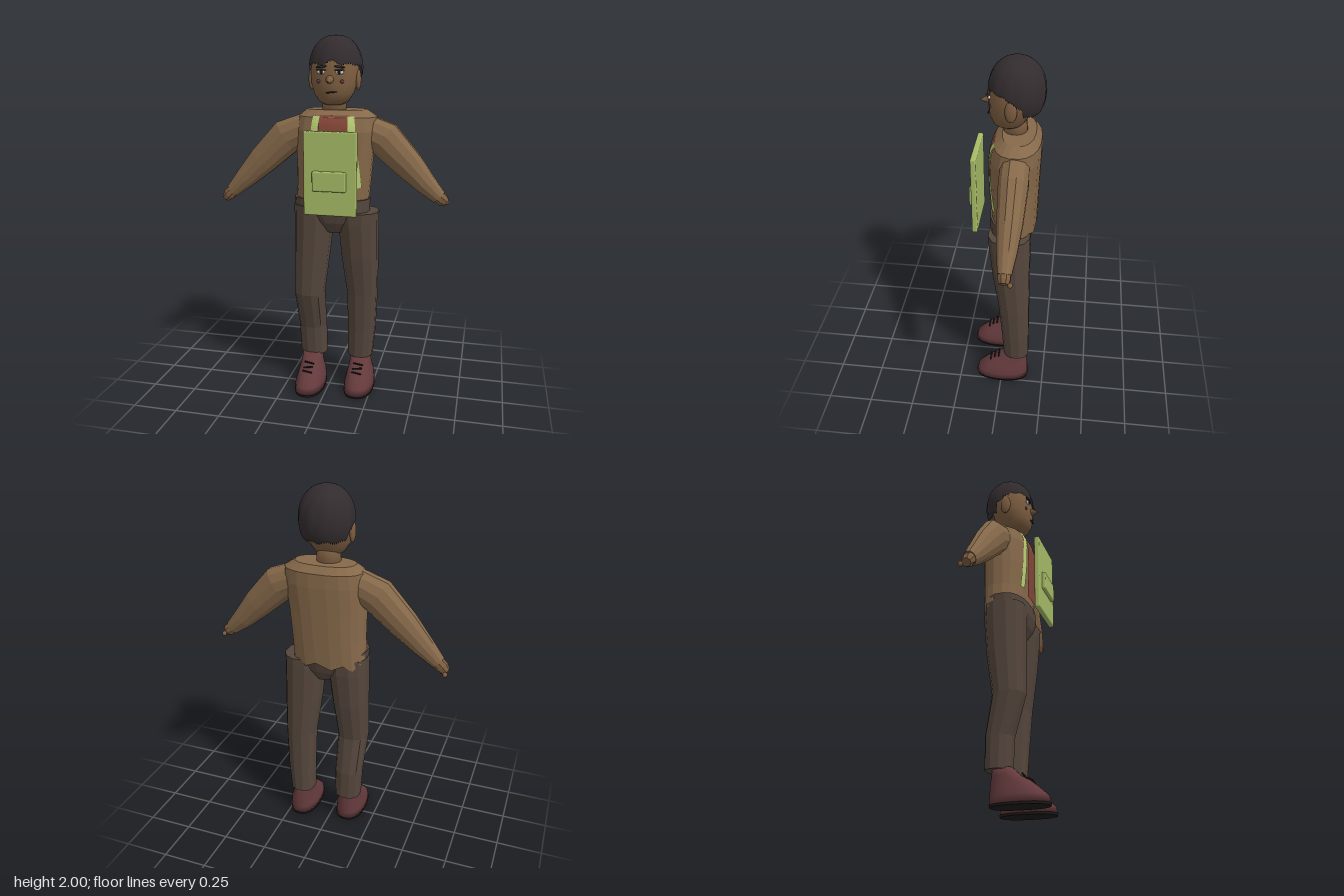
import * as THREE from 'three';
import { RoundedBoxGeometry } from 'three/addons/geometries/RoundedBoxGeometry.js';

const paint = (name, color, side = THREE.FrontSide) => {
  const m = new THREE.MeshStandardMaterial({ color, side });
  m.name = name;
  return m;
};

// Closed body through rings [x, y, z, half width, half depth]; tilt sets rings square to the path
function loft(rings, { n = 14, p = 2, tilt = false, flat = true, edit = null } = {}) {
  const pos = [], idx = [];
  const pow = (t) => Math.sign(t) * Math.abs(t) ** (2 / p);
  const centres = rings.map((r) => new THREE.Vector3(r[0], r[1], r[2]));
  const u = new THREE.Vector3(0, 0, 1);
  rings.forEach((r, i) => {
    const d = new THREE.Vector3(0, 1, 0);
    if (tilt) d.subVectors(centres[Math.min(i + 1, rings.length - 1)], centres[Math.max(i - 1, 0)]).setZ(0).normalize();
    const v = d.clone().cross(u);
    for (let j = 0; j < n; j++) {
      const a = ((j + 0.5) / n) * Math.PI * 2;
      const q = centres[i].clone().addScaledVector(u, r[4] * pow(Math.cos(a))).addScaledVector(v, r[3] * pow(Math.sin(a)));
      if (edit) edit(q, i, j);
      pos.push(q.x, q.y, q.z);
    }
  });
  for (let i = 0; i < rings.length - 1; i++) for (let j = 0; j < n; j++) {
    const k = (j + 1) % n, a = i * n + j, b = i * n + k;
    idx.push(a, b, b + n, a, b + n, a + n);
  }
  // end caps
  const last = rings.length - 1, c0 = pos.length / 3;
  pos.push(...centres[0].toArray(), ...centres[last].toArray());
  for (let j = 0; j < n; j++) {
    const k = (j + 1) % n;
    idx.push(c0, k, j, c0 + 1, last * n + j, last * n + k);
  }
  let g = new THREE.BufferGeometry();
  g.setAttribute('position', new THREE.Float32BufferAttribute(pos, 3));
  g.setIndex(idx);
  if (flat) g = g.toNonIndexed();
  g.computeVertexNormals();
  return g;
}

const TORSO = [
  [0.005, 1.07, -0.055, 0.205, 0.12], [0.015, 1.2, -0.055, 0.205, 0.125], [0.02, 1.35, -0.055, 0.212, 0.13],
  [0.03, 1.5, -0.06, 0.222, 0.132], [0.033, 1.575, -0.068, 0.215, 0.122], [0.025, 1.612, -0.075, 0.165, 0.085],
];

// Depth of the chest surface at a point
function chestZ(x, y) {
  let i = 0;
  while (i < TORSO.length - 2 && y > TORSO[i + 1][1]) i++;
  const a = TORSO[i], b = TORSO[i + 1], t = (y - a[1]) / (b[1] - a[1]);
  const [cx, , cz, rx, rz] = a.map((v, k) => v + (b[k] - v) * t);
  return cz + rz * Math.max(0, 1 - Math.abs((x - cx) / rx) ** 2.4) ** (1 / 2.4) + 0.006;
}

// Cloth strip lying on the chest; slant moves its lower end sideways
function chestStrip(x0, x1, y0, y1, slant = 0) {
  const g = new THREE.PlaneGeometry(1, 1, 6, 12), a = g.attributes.position;
  for (let i = 0; i < a.count; i++) {
    const s = a.getX(i) + 0.5, t = a.getY(i) + 0.5;
    const x = x0 + (x1 - x0) * s + slant * (1 - t), y = y0 + (y1 - y0) * t;
    a.setXYZ(i, x, y, chestZ(x, y));
  }
  g.computeVertexNormals();
  return g;
}

// Cap of hair with ridges swirling from the crown and a hem that rises over the face
function hairCap() {
  const g = new THREE.SphereGeometry(1, 72, 24), a = g.attributes.position, W = 73;
  for (let i = 0; i < a.count; i++) {
    const az = ((i % W) / (W - 1)) * Math.PI * 2, t = Math.floor(i / W) / 24;
    const front = Math.cos(az);
    let hem = front > 0.3 ? 1.845 : front > -0.3 ? 1.825 - (0.3 - front) * 0.06 : 1.73;
    if (front > 0.3) hem += 0.02 * Math.max(0, 1 - Math.abs(az < 3.2 ? az - 0.1 : az - 6.38) / 0.35);
    hem += 0.006 * Math.cos(az * 9);
    const pol = t * Math.acos((hem - 1.83) / 0.17);
    const ridge = 1 + 0.035 * Math.sin(pol) * Math.abs(Math.cos(az * 6 + pol * 1.2)) - 0.02;
    const r = 0.143 * Math.sin(pol) ** 0.85 * ridge;
    a.setXYZ(i, 0.023 + r * Math.sin(az), 1.83 + 0.17 * Math.cos(pol), -0.06 + r * Math.cos(az));
  }
  g.computeVertexNormals();
  return g;
}

export function createModel() {
  const skin = paint('skin', 0x7c5d40), shirt = paint('shirt', 0x86694a);
  const trousers = paint('trousers', 0x54463c), shoe = paint('shoe leather', 0x643a3c);
  const hair = paint('hair', 0x332c2e, THREE.DoubleSide), dark = paint('sole black', 0x1d1a1a);
  const green = paint('apron green', 0xa6bb66), strap = paint('strap green', 0xb8ce74, THREE.DoubleSide);
  const red = paint('neckcloth red', 0x844638, THREE.DoubleSide), white = paint('eye white', 0xd8d4d0);

  const model = new THREE.Group();
  model.name = 'figure';
  const add = (name, geo, mat, x = 0, y = 0, z = 0, parent = model) => {
    const m = new THREE.Mesh(geo, mat);
    m.name = name;
    m.position.set(x, y, z);
    parent.add(m);
    return m;
  };
  const blob = (name, mat, x, y, z, sx, sy, sz) => {
    const m = add(name, new THREE.SphereGeometry(1, 16, 10), mat, x, y, z);
    m.scale.set(sx, sy, sz);
    return m;
  };

  // Torso with a ragged hem hanging lower at the back
  add('torso', loft(TORSO, { n: 20, p: 2.4, edit: (q, i, j) => {
    if (i === 0 && q.z < -0.1) q.y += -0.02 + (j % 2 ? 0.018 : -0.012);
  } }), shirt);
  add('neck', loft([[0.015, 1.59, -0.055, 0.066, 0.062], [0.017, 1.68, -0.05, 0.062, 0.06]], { n: 16, flat: false }), skin);

  // Pelvis and legs
  add('pelvis', loft([
    [0.03, 0.94, -0.04, 0.05, 0.075], [0.025, 1.0, -0.04, 0.13, 0.105],
    [0.01, 1.06, -0.04, 0.21, 0.118], [0.008, 1.13, -0.04, 0.212, 0.116],
  ], { n: 20, p: 2.5 }), trousers);
  add('rightLeg', loft([
    [-0.105, 0.18, -0.065, 0.077, 0.07], [-0.11, 0.35, -0.06, 0.079, 0.075], [-0.117, 0.57, -0.01, 0.086, 0.088],
    [-0.105, 0.8, -0.03, 0.1, 0.105], [-0.095, 1.0, -0.04, 0.11, 0.115], [-0.095, 1.09, -0.04, 0.11, 0.115],
  ], { n: 12, p: 2.3 }), trousers);
  add('leftLeg', loft([
    [0.17, 0.18, -0.085, 0.072, 0.075], [0.178, 0.35, -0.08, 0.08, 0.08], [0.18, 0.57, -0.07, 0.087, 0.088],
    [0.167, 0.8, -0.052, 0.104, 0.104], [0.158, 1.0, -0.042, 0.112, 0.115], [0.16, 1.06, -0.04, 0.112, 0.115],
  ], { n: 12, p: 2.3 }), trousers);

  // Arms and hands
  const arms = {
    left: [[0.17, 1.51, -0.07, 0.085, 0.075], [0.29, 1.455, -0.072, 0.1, 0.076], [0.42, 1.325, -0.07, 0.083, 0.066],
      [0.52, 1.22, -0.067, 0.06, 0.052], [0.597, 1.148, -0.065, 0.04, 0.036]],
    right: [[-0.13, 1.51, -0.06, 0.085, 0.07], [-0.255, 1.455, -0.062, 0.1, 0.074], [-0.4, 1.315, -0.06, 0.083, 0.062],
      [-0.51, 1.205, -0.058, 0.06, 0.048], [-0.588, 1.13, -0.057, 0.04, 0.034]],
  };
  const tips = { left: [0.636, 1.12], right: [-0.632, 1.085] };
  for (const side of ['left', 'right']) {
    const w = arms[side][4], [tx, ty] = tips[side], s = Math.sign(tx);
    add(side + 'Arm', loft(arms[side], { n: 12, tilt: true }), shirt);
    add(side + 'Hand', loft([
      [w[0] - s * 0.01, w[1] + 0.01, w[2], 0.033, 0.032], [(w[0] + tx) / 2, (w[1] + ty) / 2, w[2], 0.036, 0.034],
      [tx, ty, w[2], 0.024, 0.026],
    ], { n: 8, tilt: true }), skin);
    blob(side + 'Thumb', skin, tx, ty - 0.004, w[2] - 0.03, 0.013, 0.014, 0.013);
  }

  // Shoes with soles and laces
  for (const [side, x, z] of [['left', 0.18, 0], ['right', -0.1, 0.045]]) {
    const g = new THREE.Group();
    g.name = side + 'Shoe';
    g.position.set(x, 0, z);
    model.add(g);
    add('sole', loft([[0, 0, -0.002, 0.083, 0.155], [0, 0.012, -0.002, 0.085, 0.157]], { n: 28, p: 2.4 }), dark, 0, 0, 0, g);
    add('upper', loft([
      [0, 0.012, -0.002, 0.084, 0.156], [0, 0.05, -0.006, 0.083, 0.15], [0, 0.09, -0.027, 0.075, 0.127],
      [-0.004, 0.125, -0.047, 0.065, 0.103], [-0.006, 0.15, -0.068, 0.06, 0.077], [-0.008, 0.19, -0.085, 0.056, 0.056],
    ], { n: 28, p: 2.3, flat: false }), shoe, 0, 0, 0, g);
    for (let i = 0; i < 3; i++) {
      const lace = add('lace', new THREE.CapsuleGeometry(0.005, 0.05, 3, 8), dark, -0.005, 0.118 + i * 0.017, 0.068 - i * 0.024, g);
      lace.rotation.z = Math.PI / 2 + (i % 2 ? 0.15 : -0.15);
    }
  }

  // Apron board, pocket, straps and neckcloth
  add('apronBoard', new RoundedBoxGeometry(0.287, 0.45, 0.03, 2, 0.008), green, 0.038, 1.29, 0.144);
  add('apronPocket', new RoundedBoxGeometry(0.182, 0.107, 0.026, 2, 0.008), green, 0.036, 1.253, 0.166);
  add('neckcloth', chestStrip(-0.045, 0.112, 1.17, 1.588), red);
  add('rightStrap', chestStrip(-0.08, -0.042, 1.2, 1.583, -0.04), strap);
  add('leftStrap', chestStrip(0.108, 0.146, 1.2, 1.583, 0.04), strap);

  // Head, hair and ears
  add('head', loft([
    [0.02, 1.64, -0.025, 0.05, 0.05], [0.02, 1.658, -0.02, 0.08, 0.078], [0.02, 1.7, -0.025, 0.107, 0.1],
    [0.02, 1.75, -0.035, 0.123, 0.115], [0.02, 1.82, -0.045, 0.13, 0.125], [0.02, 1.9, -0.05, 0.115, 0.11],
    [0.02, 1.95, -0.055, 0.07, 0.07],
  ], { n: 28, flat: false }), skin);
  add('hair', hairCap(), hair);
  for (const s of [-1, 1]) {
    const cx = 0.022 + s * 0.048;
    blob('ear', skin, 0.02 + s * 0.128, 1.77, -0.042, 0.015, 0.056, 0.03);
    blob('eye', white, cx, 1.812, 0.07, 0.024, 0.012, 0.009);
    blob('iris', dark, cx, 1.812, 0.075, 0.009, 0.011, 0.007);
    blob('eyelash', hair, cx, 1.823, 0.075, 0.027, 0.004, 0.012);
    blob('eyebrow', hair, cx, 1.839, 0.072, 0.03, 0.006, 0.008).rotation.z = -s * 0.12;
    blob('cheekSpot', shoe, 0.02 + s * 0.063, 1.765, 0.066, 0.01, 0.01, 0.006);
  }
  const nose = add('nose', new THREE.ConeGeometry(0.024, 0.055, 12), skin, 0.02, 1.77, 0.1);
  nose.rotation.x = Math.PI / 2 + 0.15;
  blob('mouth', dark, 0.03, 1.71, 0.078, 0.033, 0.004, 0.006).rotation.z = 0.12;
  return model;
}
